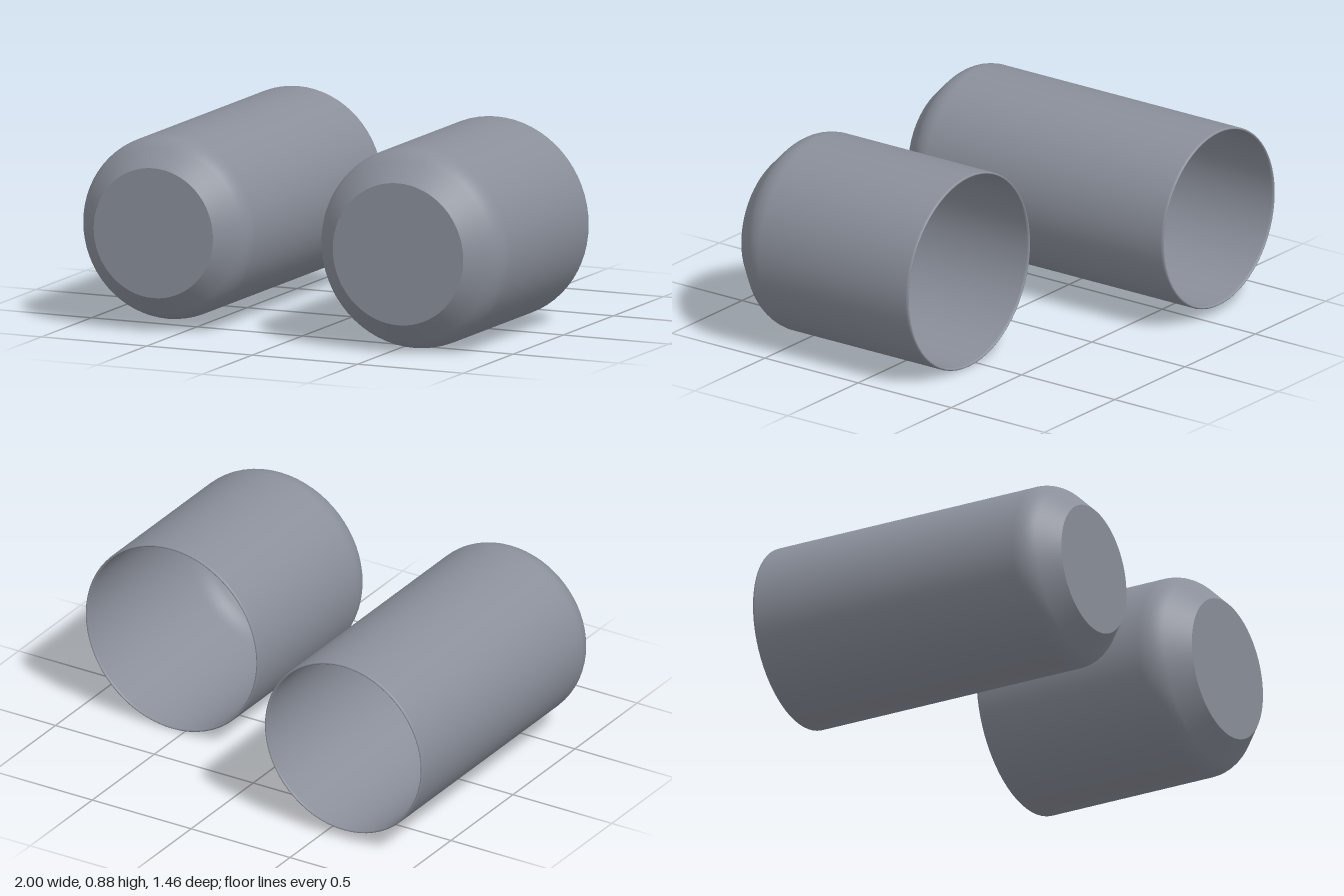
import * as THREE from 'three';

const grey = new THREE.MeshStandardMaterial({ color: 0x8a8f9a });
grey.name = 'slate grey';

const FRONT = 0.725, AXIS_Y = 0.443, WALL = 0.012, LIP = 0.01;

// Straight wall, 45 degree arc, then a chamfer running to the flat end face
function wallProfile(r, bend, backZ, frontZ, endR) {
  const c = Math.SQRT1_2;
  const chamfer = r - bend * (1 - c) - endR;
  const bendZ = frontZ - chamfer - bend * c;
  const points = [new THREE.Vector2(r, backZ)];
  for (let i = 0; i <= 8; i++) {
    const a = (i / 8) * Math.PI / 4;
    points.push(new THREE.Vector2(r - bend * (1 - Math.cos(a)), bendZ + bend * Math.sin(a)));
  }
  points.push(new THREE.Vector2(endR, frontZ));
  return points;
}

// Hollow cup open at the back, lying along z
function makeCup(name, r, x, backZ) {
  const cup = new THREE.Group();
  cup.name = name;
  const add = (part, points) => {
    const geometry = new THREE.LatheGeometry(points, 64).rotateX(Math.PI / 2);
    const mesh = new THREE.Mesh(geometry, grey);
    mesh.name = part;
    cup.add(mesh);
  };
  const v = (a, b) => new THREE.Vector2(a, b);
  const endR = r * Math.SQRT1_2, bend = r * 0.343;
  const inner = r - WALL, innerFront = FRONT - WALL, innerEnd = endR - WALL * 0.41;

  add('outerWall', wallProfile(r, bend, backZ + LIP, FRONT, endR));
  add('endFace', [v(endR, FRONT), v(0, FRONT)]);
  add('innerFloor', [v(0, innerFront), v(innerEnd, innerFront)]);
  add('innerWall', wallProfile(inner, bend - WALL, backZ + LIP, innerFront, innerEnd).reverse());
  // Rounded lip around the opening
  const lip = [];
  for (let i = 0; i <= 6; i++) {
    const a = (i / 6) * Math.PI;
    lip.push(v(r - WALL / 2 - Math.cos(a) * WALL / 2, backZ + LIP - Math.sin(a) * LIP));
  }
  add('rim', lip);

  cup.position.set(x, AXIS_Y, 0);
  return cup;
}

export function createModel() {
  const model = new THREE.Group();
  model.name = 'capsuleHalves';
  model.add(makeCup('capsuleBody', 0.4, -0.6, -0.73));
  model.add(makeCup('capsuleCap', 0.4375, 0.5605, -0.265));
  return model;
}
